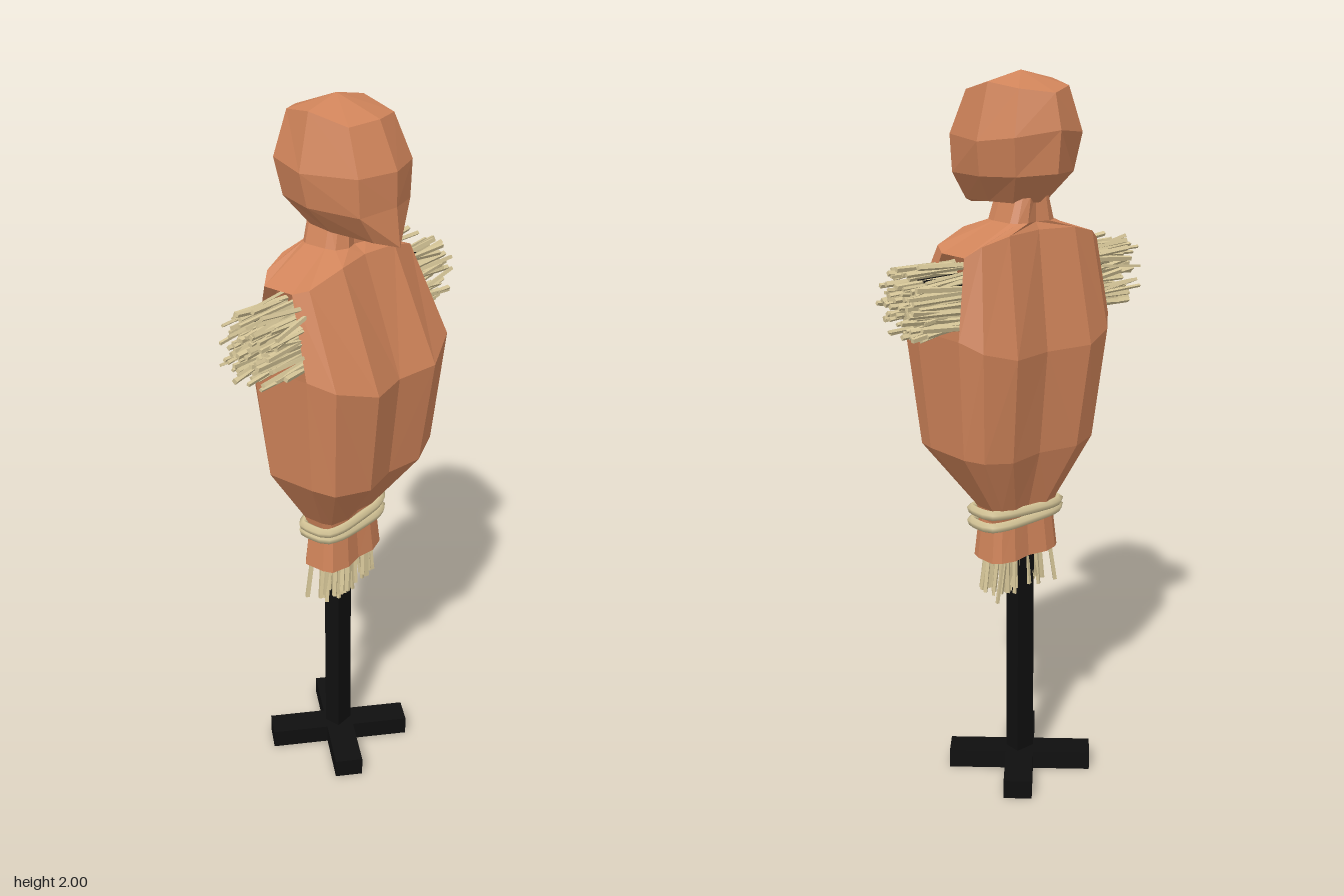
import * as THREE from 'three';
import { mergeGeometries } from 'three/addons/utils/BufferGeometryUtils.js';

const cloth = new THREE.MeshStandardMaterial({ color: 0xd0845a, side: THREE.DoubleSide });
cloth.name = 'terracotta cloth';
const strawMat = new THREE.MeshStandardMaterial({ color: 0xd6c698 });
strawMat.name = 'pale straw';
const wood = new THREE.MeshStandardMaterial({ color: 0x0f0f0f });
wood.name = 'black wood';

// Small seeded random generator
function seeded(seed) {
  return () => {
    seed = (seed * 16807) % 2147483647;
    return seed / 2147483647;
  };
}

// Complete a half ring (front centre -> +x side -> back centre) by mirroring it
const mirrorRing = (half) => [
  ...half,
  ...half.slice(1, -1).reverse().map(([x, y, z]) => [-x, y, z]),
];

// Faceted skin over rings listed bottom to top; skip(i, j) leaves a panel open
function loft(halfRings, { skip = () => false, top = null, bottom = null } = {}) {
  const rings = halfRings.map(mirrorRing);
  const n = rings[0].length;
  const pos = [];
  const tri = (a, b, c) => pos.push(...a, ...b, ...c);
  for (let j = 0; j < n; j++) {
    const k = (j + 1) % n;
    for (let i = 0; i < rings.length - 1; i++) {
      if (skip(i, j)) continue;
      const [a, b, c, d] = [rings[i][j], rings[i][k], rings[i + 1][k], rings[i + 1][j]];
      if (j < n / 2) { tri(a, b, c); tri(a, c, d); } else { tri(a, b, d); tri(b, c, d); }
    }
    const last = rings[rings.length - 1];
    if (top) tri(last[j], last[k], top);
    if (bottom) tri(rings[0][k], rings[0][j], bottom);
  }
  const g = new THREE.BufferGeometry();
  g.setAttribute('position', new THREE.Float32BufferAttribute(pos, 3));
  g.computeVertexNormals();
  return g;
}

// Bundle of straws, each running from point(rand).a to point(rand).b
function strawBundle(count, seed, ends) {
  const rand = seeded(seed);
  const up = new THREE.Vector3(0, 1, 0);
  const parts = [];
  for (let i = 0; i < count; i++) {
    const [a, b] = ends(rand);
    const dir = b.clone().sub(a);
    const t = 0.007 + rand() * 0.005;
    const g = new THREE.BoxGeometry(t, dir.length(), t);
    g.rotateY(rand() * Math.PI);
    g.applyQuaternion(new THREE.Quaternion().setFromUnitVectors(up, dir.clone().normalize()));
    const m = a.clone().add(b).multiplyScalar(0.5);
    g.translate(m.x, m.y, m.z);
    parts.push(g);
  }
  return mergeGeometries(parts);
}

export function createModel() {
  const model = new THREE.Group();
  model.name = 'trainingDummy';
  const add = (name, geometry, material) => {
    const mesh = new THREE.Mesh(geometry, material);
    mesh.name = name;
    model.add(mesh);
    return mesh;
  };
  const V = (x, y, z) => new THREE.Vector3(x, y, z);
  const cz = -0.03;

  // Wooden stand: post, arm bar and diagonal crossed feet
  add('post', new THREE.BoxGeometry(0.06, 1.62, 0.05), wood).position.set(0, 0.81, cz);
  add('armBar', new THREE.BoxGeometry(0.64, 0.05, 0.04), wood).position.set(0, 1.47, -0.02);
  [1, -1].forEach((s) => {
    const foot = add('foot', new THREE.BoxGeometry(0.41, 0.055, 0.08), wood);
    foot.position.set(0, 0.0275, cz);
    foot.rotation.y = s * Math.PI / 4 + 0.04;
  });

  // Stuffed torso: half section as [width fraction, depth fraction from back to front]
  const section = [[0, 0.93], [0.47, 1], [0.92, 0.88], [1, 0.67], [1, 0.2], [0.83, 0.08], [0.49, 0], [0, 0.08]];
  // [y, half width, front z, back z, lift of the sides]
  const levels = [
    [0.675, 0.12, 0.055, -0.078, 0],
    [0.79, 0.108, 0.045, -0.068, 0],
    [0.83, 0.118, 0.05, -0.078, 0],
    [0.99, 0.235, 0.17, -0.135, 0.02],
    [1.28, 0.265, 0.205, -0.17, 0.06],
    [1.6, 0.232, 0.075, -0.118, -0.05],
    [1.62, 0.075, 0.037, -0.102, 0],
    [1.69, 0.052, 0.03, -0.1, 0],
  ];
  const bodyRings = levels.map(([y, w, zf, zb, lift]) =>
    section.map(([u, v]) => [u * w, y + lift * u ** 4, zb + v * (zf - zb)]));
  // Side panels at the arms stay open
  add('torso', loft(bodyRings, { skip: (i, j) => i === 4 && (j === 3 || j === 10) }), cloth);

  // Hooded head with a jutting chin
  const headRings = [
    [[0, 1.642, 0.172], [0.055, 1.66, 0.13], [0.075, 1.668, 0.01], [0.06, 1.67, -0.07], [0, 1.67, -0.1]],
    [[0, 1.745, 0.16], [0.105, 1.735, 0.125], [0.132, 1.74, -0.02], [0.1, 1.745, -0.125], [0, 1.75, -0.175]],
    [[0, 1.835, 0.16], [0.112, 1.835, 0.125], [0.148, 1.83, -0.03], [0.116, 1.845, -0.14], [0, 1.86, -0.185]],
    [[0, 1.955, 0.105], [0.092, 1.95, 0.08], [0.11, 1.975, -0.03], [0.085, 1.962, -0.12], [0, 1.95, -0.163]],
  ];
  add('head', loft(headRings, { top: [0, 2, -0.03], bottom: [0, 1.665, 0] }), cloth);

  // Two turns of rope at the waist
  [0.787, 0.815].forEach((y, n) => {
    const pts = [[0.128, 0.028], [0.07, 0.05], [-0.07, 0.05], [-0.128, 0.028],
      [-0.128, -0.05], [-0.07, -0.071], [0.07, -0.071], [0.128, -0.05]]
      .map(([x, z]) => V(x, y + (n ? 0.04 : -0.03) * x, z));
    const curve = new THREE.CatmullRomCurve3(pts, true, 'catmullrom', 0.3);
    add('rope', new THREE.TubeGeometry(curve, 32, 0.014, 5, true), strawMat);
  });

  // Straw spilling from both sleeves
  [1, -1].forEach((s) => {
    add(s > 0 ? 'leftArmStraw' : 'rightArmStraw', strawBundle(110, s > 0 ? 4711 : 9137, (r) => {
      const y = 1.36 + r() * 0.165;
      const z = (r() - 0.5) * (0.15 - (y - 1.36) * 0.2) - 0.01;
      return [
        V(s * (0.17 + r() * 0.04), y + (r() - 0.5) * 0.02, z),
        V(s * (0.33 + r() * 0.08), y + (r() - 0.5) * 0.05, z + (r() - 0.5) * 0.04),
      ];
    }), strawMat);
  });

  // Straw hanging out of the hem
  add('hemStraw', strawBundle(75, 2203, (r) => {
    const x = (r() - 0.5) * 0.18;
    const z = (r() - 0.5) * 0.085 - 0.015;
    return [
      V(x, 0.72 + r() * 0.03, z),
      V(x * 1.15 + (r() - 0.5) * 0.04, 0.55 + r() * 0.05, z + (r() - 0.5) * 0.025),
    ];
  }), strawMat);

  return model;
}
